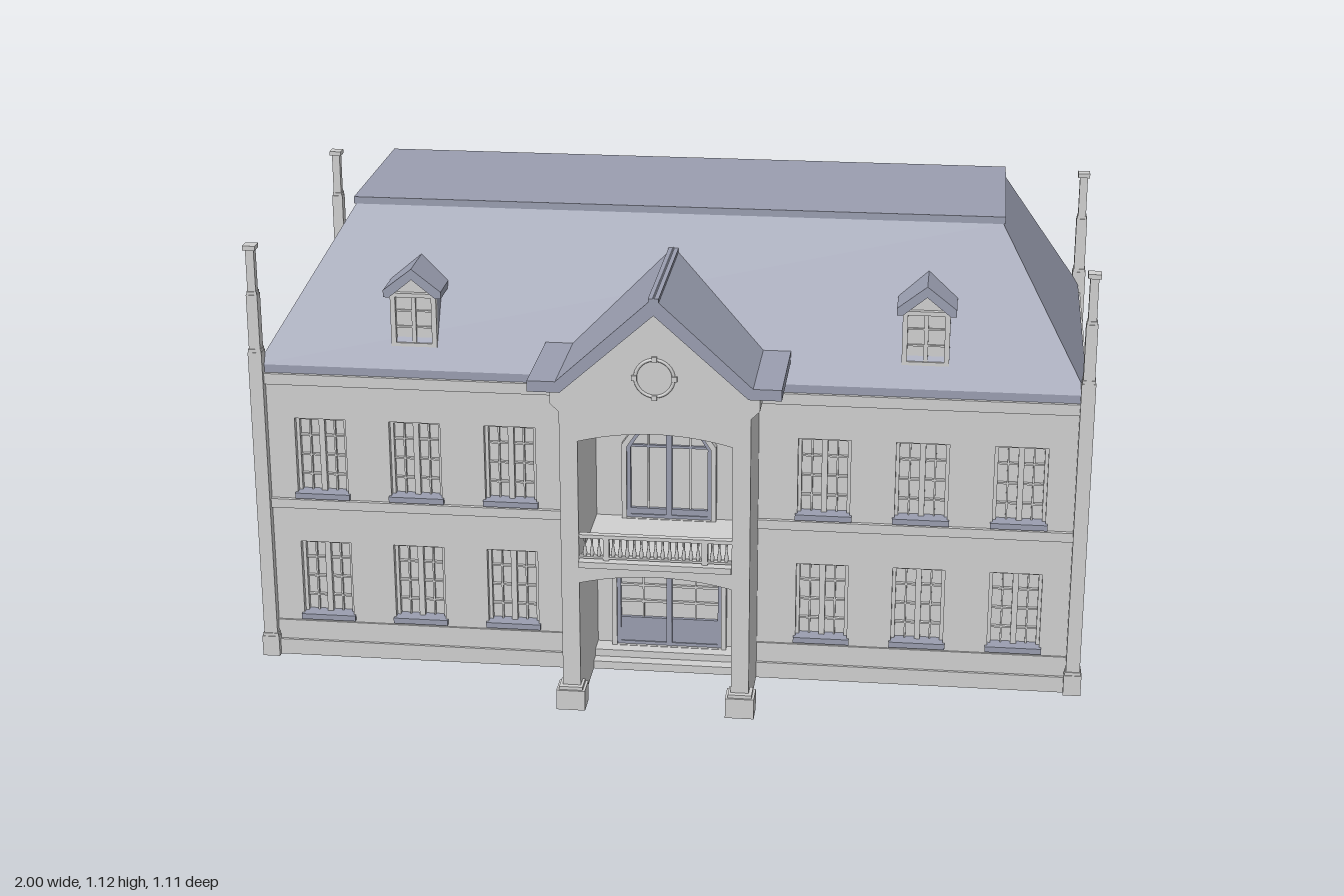
import * as THREE from 'three';

const mat = (name, color) => {
  const m = new THREE.MeshStandardMaterial({ color });
  m.name = name;
  return m;
};

export function createModel() {
  const stone = mat('pale stone', 0xd0d0d0);
  const slate = mat('blue grey slate', 0x9a9eb0);
  const root = new THREE.Group();
  root.name = 'house';

  const add = (name, geo, m, x = 0, y = 0, z = 0, parent = root) => {
    const mesh = new THREE.Mesh(geo, m);
    mesh.name = name;
    mesh.position.set(x, y, z);
    parent.add(mesh);
    return mesh;
  };
  // Box given by its limits on each axis
  const block = (name, m, x0, x1, y0, y1, z0, z1, parent = root) =>
    add(name, new THREE.BoxGeometry(x1 - x0, y1 - y0, z1 - z0), m,
      (x0 + x1) / 2, (y0 + y1) / 2, (z0 + z1) / 2, parent);
  const extrude = (shape, depth) =>
    new THREE.ExtrudeGeometry(shape, { depth, bevelEnabled: false, curveSegments: 12 });
  const poly = (pts) => new THREE.Shape(pts.map(([x, y]) => new THREE.Vector2(x, y)));
  const rect = (x0, x1, y0, y1) => poly([[x0, y0], [x1, y0], [x1, y1], [x0, y1]]);
  // Opening with a shallow curved head
  const arch = (w, y0, spring, rise) => {
    const s = new THREE.Shape();
    s.moveTo(-w, y0);
    s.lineTo(w, y0);
    s.lineTo(w, spring);
    s.quadraticCurveTo(0, spring + 2 * rise, -w, spring);
    s.closePath();
    return s;
  };

  // Solid core with a recess behind the portico
  const W = 0.972, FRONT = 0.322, BACK = -0.532, T = 0.03;
  block('core', stone, -W, W, 0, 0.735, BACK + T, 0.25);
  for (const s of [[-W, -0.2], [0.2, W]])
    block('frontCore', stone, s[0], s[1], 0, 0.735, 0.25, FRONT - T);

  // Windows: lattice set back in the wall, with a slate sill
  const HW = 0.062, floors = [[0.1, 0.3], [0.42, 0.62]];
  const makeWindow = (x, y0, y1, z, dir) => {
    const g = new THREE.Group();
    g.name = 'window';
    g.position.set(x, 0, z);
    g.rotation.y = dir < 0 ? Math.PI : 0;
    const frame = rect(-HW, HW, y0, y1);
    frame.holes.push(rect(-HW + 0.008, HW - 0.008, y0 + 0.008, y1 - 0.008));
    add('windowFrame', extrude(frame, 0.014), stone, 0, 0, -T, g);
    block('mullion', stone, -0.007, 0.007, y0, y1, -T, -T + 0.014, g);
    for (const sx of [-0.03, 0.03])
      block('verticalBar', stone, sx - 0.002, sx + 0.002, y0, y1, -T, -T + 0.009, g);
    for (let i = 1; i < 4; i++) {
      const y = y0 + (y1 - y0) * i / 4;
      block('crossBar', stone, -HW, HW, y - 0.002, y + 0.002, -T, -T + 0.009, g);
    }
    block('sill', slate, -HW - 0.005, HW + 0.005, y0 - 0.004, y0 + 0.01, -T, 0.01, g);
    root.add(g);
  };
  const wall = (name, x0, x1, columns, z, dir) => {
    const s = rect(x0, x1, 0, 0.735);
    for (const x of columns)
      for (const [y0, y1] of floors) {
        s.holes.push(rect(x - HW, x + HW, y0, y1));
        makeWindow(x, y0, y1, z, dir);
      }
    add(name, extrude(s, T), stone, 0, 0, dir > 0 ? z - T : z);
  };
  const cols = [0.375, 0.605, 0.835];
  wall('frontWallLeft', 0.2, W, cols, FRONT, 1);
  wall('frontWallRight', -W, -0.2, cols.map((x) => -x), FRONT, 1);
  const backCols = [0.145, ...cols];
  wall('backWall', -W, W, [...backCols, ...backCols.map((x) => -x)], BACK, -1);

  // Plinth, string course and cornice
  for (const [name, y0, y1, p] of [['plinth', 0, 0.04, 0.012], ['plinthStep', 0.04, 0.09, 0.005],
    ['stringCourse', 0.39, 0.413, 0.01], ['cornice', 0.708, 0.735, 0.012]]) {
    block(name, stone, -W, W, y0, y1, BACK - p, BACK);
    for (const s of [-1, 1]) {
      const a = s * W, b = s * (W + p), i = s * 0.21;
      block(name, stone, Math.min(a, b), Math.max(a, b), y0, y1, BACK, FRONT);
      block(name, stone, Math.min(a, i), Math.max(a, i), y0, y1, FRONT, FRONT + p);
    }
  }

  // Corner posts rising into slim chimneys
  for (const x of [-0.979, 0.979])
    for (const z of [0.328, -0.535]) {
      const g = new THREE.Group();
      g.name = 'cornerPost';
      g.position.set(x, 0, z);
      root.add(g);
      for (const [y0, y1, w] of [[0, 0.052, 0.042], [0.052, 0.06, 0.038], [0.06, 0.79, 0.033],
        [0.79, 0.798, 0.031], [0.798, 0.932, 0.027], [0.932, 0.94, 0.024], [0.94, 1.042, 0.02], [1.042, 1.053, 0.03]])
        block('postSection', stone, -w / 2, w / 2, y0, y1, -w / 2, w / 2, g);
    }

  // Hipped main roof: a box drawn in at the top
  const zc = -0.105;
  block('roofEave', slate, -0.978, 0.978, 0.735, 0.755, -0.535, 0.325);
  const hip = new THREE.BoxGeometry(1.956, 0.347, 0.86);
  const p = hip.attributes.position;
  for (let i = 0; i < p.count; i++)
    if (p.getY(i) > 0) p.setXYZ(i, Math.sign(p.getX(i)) * 0.77, p.getY(i), Math.sign(p.getZ(i)) * 0.222);
  hip.computeVertexNormals();
  add('mainRoof', hip, slate, 0, 0.755 + 0.1735, zc);
  block('roofCap', slate, -0.776, 0.776, 1.1, 1.117, zc - 0.226, zc + 0.226);

  // Dormers
  for (const x of [-0.603, 0.603]) {
    const g = new THREE.Group();
    g.name = 'dormer';
    g.position.x = x;
    root.add(g);
    add('dormerBody', extrude(poly([[-0.055, 0.78], [0.055, 0.78], [0.055, 0.935], [0, 0.975], [-0.055, 0.935]]), 0.15), slate, 0, 0, 0.13, g);
    const face = poly([[-0.055, 0.798], [0.055, 0.798], [0.055, 0.935], [0, 0.975], [-0.055, 0.935]]);
    add('dormerFace', extrude(face, 0.004), stone, 0, 0, 0.28, g);
    const frame = rect(-0.055, 0.055, 0.798, 0.935);
    frame.holes.push(rect(-0.043, 0.043, 0.812, 0.925));
    add('dormerFrame', extrude(frame, 0.012), stone, 0, 0, 0.284, g);
    block('dormerMullion', stone, -0.005, 0.005, 0.81, 0.93, 0.284, 0.292, g);
    for (const y of [0.85, 0.89])
      block('dormerBar', stone, -0.045, 0.045, y - 0.002, y + 0.002, 0.284, 0.289, g);
    add('dormerRoof', extrude(poly([[0, 0.998], [-0.069, 0.944], [-0.069, 0.927], [-0.055, 0.927],
      [0, 0.972], [0.055, 0.927], [0.069, 0.927], [0.069, 0.944]]), 0.175), slate, 0, 0, 0.13, g);
  }

  // Portico: gabled front with a tall opening on each floor
  const O = 0.178, PZ = 0.54;
  const front = new THREE.Shape();
  front.moveTo(O, 0);
  for (const [x, y] of [[0.22, 0], [0.22, 0.745], [0.24, 0.765], [0.24, 0.8], [0.2, 0.81], [0, 1.0],
    [-0.2, 0.81], [-0.24, 0.8], [-0.24, 0.765], [-0.22, 0.745], [-0.22, 0], [-O, 0], [-O, 0.322]]) front.lineTo(x, y);
  front.quadraticCurveTo(0, 0.366, O, 0.322);
  front.closePath();
  front.holes.push(arch(O, 0.375, 0.675, 0.024));
  add('portico', extrude(front, PZ - 0.25), stone, 0, 0, 0.25);
  const gable = [[0, 1.03], [-0.225, 0.823], [-0.29, 0.823], [-0.29, 0.797], [-0.215, 0.797], [0, 0.988],
    [0.215, 0.797], [0.29, 0.797], [0.29, 0.823], [0.225, 0.823]];
  add('porticoRoof', extrude(poly(gable), 0.455), slate, 0, 0, 0.1);
  block('ridge', slate, -0.012, 0.012, 1.01, 1.028, 0.13, 0.556);
  for (const s of [-1, 1]) {
    const x = s * 0.2;
    block('pillarBase', stone, x - 0.034, x + 0.034, 0, 0.05, 0.5, 0.558);
    block('pillarBaseCap', stone, x - 0.028, x + 0.028, 0.05, 0.058, 0.505, 0.553);
  }

  // Round gable ornament
  add('gableRing', new THREE.TorusGeometry(0.044, 0.004, 6, 32), stone, 0, 0.835, PZ);
  for (let i = 0; i < 4; i++) {
    const a = i * Math.PI / 2;
    add('ringKey', new THREE.BoxGeometry(0.012, 0.012, 0.012), stone,
      Math.cos(a) * 0.046, 0.835 + Math.sin(a) * 0.046, PZ);
  }

  // Balcony and balustrade
  block('balconyEdge', stone, -O, O, 0.365, 0.38, 0.5, 0.552);
  block('handrail', stone, -O, O, 0.434, 0.443, 0.522, 0.538);
  block('bottomRail', stone, -O, O, 0.383, 0.388, 0.524, 0.536);
  const baluster = new THREE.LatheGeometry([[0.003, 0], [0.0055, 0.012], [0.0025, 0.03], [0.003, 0.052]]
    .map(([x, y]) => new THREE.Vector2(x, y)), 8);
  for (let i = 0; i < 21; i++)
    add('baluster', baluster, stone, -0.165 + i * 0.0165, 0.384, 0.53);
  for (const x of [-0.115, 0.115])
    block('railPost', stone, x - 0.007, x + 0.007, 0.38, 0.443, 0.522, 0.538);

  // Steps inside the recess
  block('lowerStep', stone, -O, O, 0, 0.02, 0.25, 0.33);
  block('upperStep', stone, -O, O, 0.02, 0.038, 0.25, 0.3);

  // Arched double doors
  const doors = (name, w, y0, spring, rise, panelTop, rows) => {
    const g = new THREE.Group();
    g.name = name;
    g.position.z = 0.25;
    root.add(g);
    const surround = arch(w + 0.012, y0, spring + 0.006, rise + 0.004);
    surround.holes.push(arch(w, y0 + 0.001, spring, rise));
    add('doorSurround', extrude(surround, 0.02), stone, 0, 0, 0, g);
    const frame = arch(w, y0, spring, rise);
    frame.holes.push(arch(w - 0.009, y0 + 0.009, spring - 0.003, rise - 0.003));
    add('doorFrame', extrude(frame, 0.012), slate, 0, 0, 0, g);
    const top = spring + rise;
    block('meetingStile', slate, -0.007, 0.007, y0, top - 0.004, 0, 0.014, g);
    block('doorPanel', slate, -w, w, y0, panelTop, 0, 0.009, g);
    for (const s of [-1, 1])
      block('doorBar', stone, s * w / 2 - 0.002, s * w / 2 + 0.002, panelTop, spring + rise * 0.7, 0, 0.006, g);
    for (let i = 1; i <= rows; i++) {
      const y = panelTop + (spring - panelTop) * i / rows;
      block('doorCrossBar', i === rows ? slate : stone, -w + 0.004, w - 0.004, y - 0.003, y + 0.003, 0, 0.007, g);
    }
  };
  doors('entranceDoors', 0.128, 0.038, 0.28, 0.022, 0.11, 4);
  doors('balconyDoors', 0.102, 0.376, 0.56, 0.085, 0.4, 1);

  return root;
}
